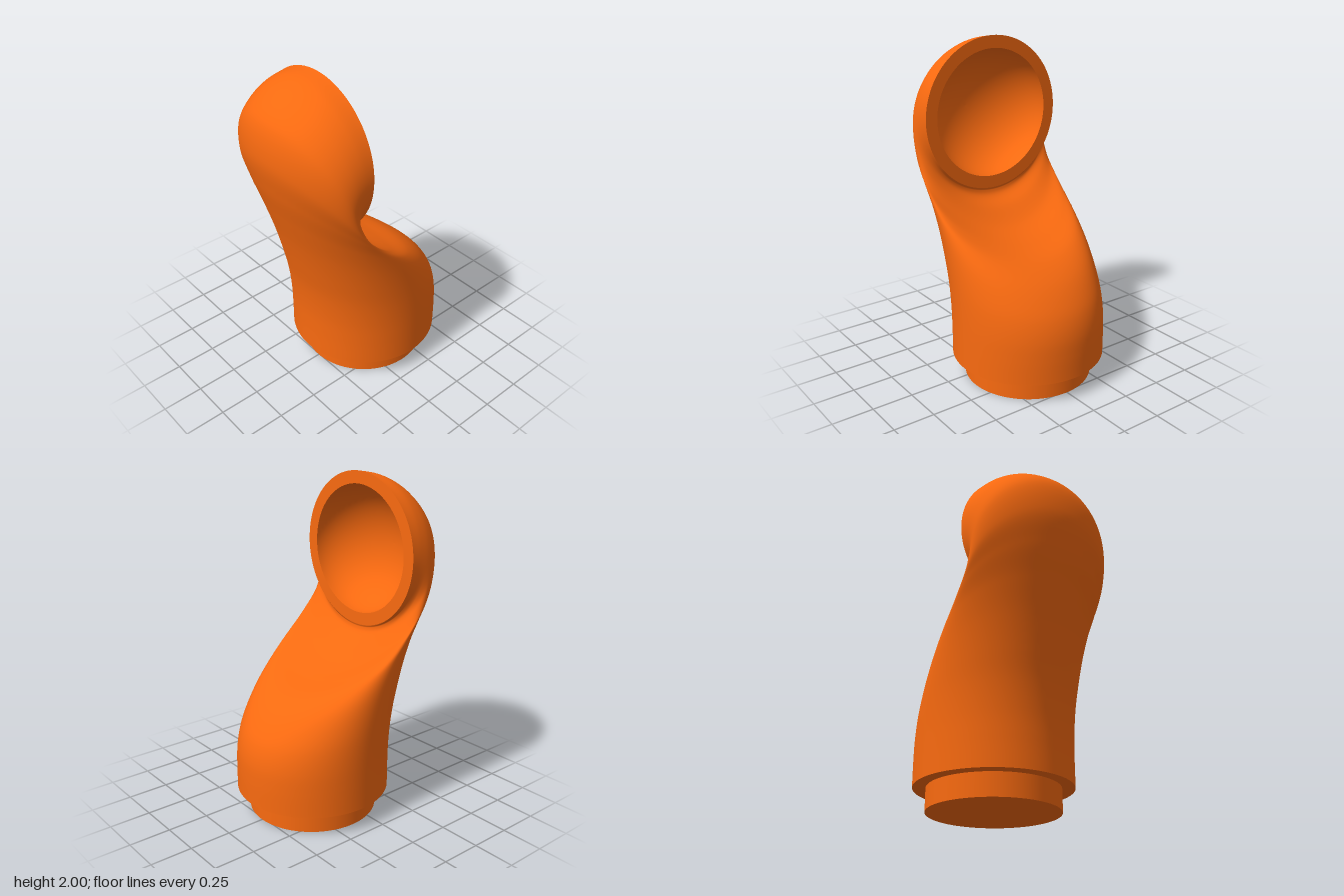
import * as THREE from 'three';

const R = 0.46, BORE = 0.385, BASE_Y = 0.135, BASE_Z = -0.13, MOUTH_Y = 1.54, MOUTH_Z = 0.225;
const SIDES = 96, STEPS = 120;

// Front edge of each circular section: z, y, tilt in degrees
const stations = [
  [0.33, 0.135, 0], [0.33, 0.3, 1.5], [0.335, 0.45, 4], [0.355, 0.63, 8.5], [0.39, 0.8, 13.5],
  [0.44, 1.0, 20.4], [0.5, 1.2, 28.8], [0.56, 1.4, 39.5], [0.595, 1.6, 51],
  [0.56, 1.8, 63], [0.45, 1.92, 75], [0.34, 1.977, 83], [0.225, 2.0, 90],
];

// A rigid circle carried up the body while it tilts from level to upright
function bodyGeometry() {
  const curve = new THREE.CatmullRomCurve3(
    stations.map(([z, y, deg]) => new THREE.Vector3(z, y, THREE.MathUtils.degToRad(deg))));
  const pos = [], index = [];
  for (let i = 0; i <= STEPS; i++) {
    const p = curve.getPoint(i / STEPS);
    const uz = Math.cos(p.z), uy = Math.sin(p.z);
    for (let j = 0; j < SIDES; j++) {
      const a = (j / SIDES) * Math.PI * 2;
      const s = R * (Math.cos(a) - 1);
      pos.push(R * Math.sin(a), p.y + s * uy, p.x + s * uz);
      if (i < STEPS) {
        const k = i * SIDES + j, n = i * SIDES + (j + 1) % SIDES;
        index.push(k, n, k + SIDES, n, n + SIDES, k + SIDES);
      }
    }
  }
  const g = new THREE.BufferGeometry();
  g.setAttribute('position', new THREE.Float32BufferAttribute(pos, 3));
  g.setIndex(index);
  g.computeVertexNormals();
  return g;
}

export function createModel() {
  const model = new THREE.Group();
  model.name = 'curvedSpout';
  const material = new THREE.MeshStandardMaterial({ color: 0xf96a10, side: THREE.DoubleSide });
  const add = (name, geometry, x, y, z) => {
    const mesh = new THREE.Mesh(geometry, material);
    mesh.name = name;
    mesh.position.set(x, y, z);
    model.add(mesh);
    return mesh;
  };

  add('body', bodyGeometry(), 0, 0, 0);

  // Base plug and the shoulder above it
  add('basePlug', new THREE.CylinderGeometry(BORE, BORE, BASE_Y + 0.01, SIDES), 0, (BASE_Y + 0.01) / 2, BASE_Z);
  add('baseShoulder', new THREE.RingGeometry(BORE, R, SIDES).rotateX(Math.PI / 2), 0, BASE_Y, BASE_Z);

  // Flat rim of the mouth, facing the back
  add('mouthRim', new THREE.RingGeometry(BORE, R, SIDES).rotateY(Math.PI), 0, MOUTH_Y, MOUTH_Z);

  // Rounded hollow behind the rim
  const profile = [];
  for (let i = 0; i <= 24; i++) {
    const a = (i / 24) * Math.PI / 2;
    profile.push(new THREE.Vector2(BORE * Math.cos(a), 0.3 * Math.sin(a)));
  }
  add('mouthHollow', new THREE.LatheGeometry(profile, SIDES).rotateX(Math.PI / 2), 0, MOUTH_Y, MOUTH_Z);

  return model;
}
